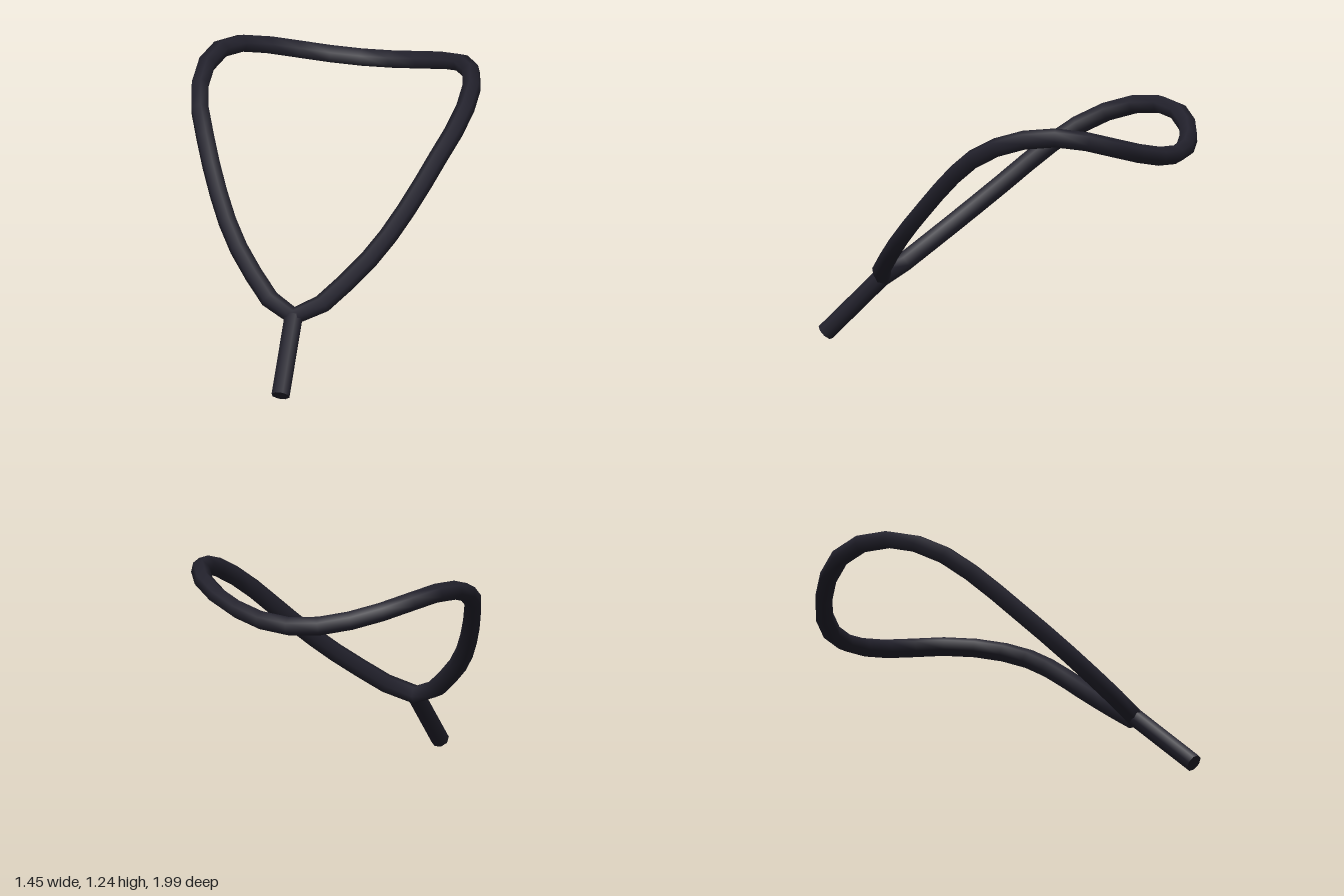
import * as THREE from 'three';

export function createModel() {
  const group = new THREE.Group();
  const dark = new THREE.MeshStandardMaterial({ color: 0x23222d });
  dark.name = 'dark slate';

  // Left half of the loop's centre line, from the back to the front
  const half = [
    [0.18, 1.062, -0.93], [0.38, 1.11, -0.855], [0.54, 1.165, -0.745],
    [0.635, 1.195, -0.6], [0.685, 1.168, -0.37], [0.66, 1.08, -0.16],
    [0.595, 0.965, 0], [0.49, 0.78, 0.2], [0.365, 0.605, 0.385],
    [0.22, 0.462, 0.53], [0.09, 0.36, 0.63],
  ];
  const left = half.map((p) => new THREE.Vector3(...p));
  const right = half.map(([x, y, z]) => new THREE.Vector3(-x, y, z)).reverse();
  const back = new THREE.Vector3(0, 1.047, -0.952);
  const front = new THREE.Vector3(0, 0.332, 0.658);

  // Bent closed loop
  const path = new THREE.CatmullRomCurve3([back, ...left, front, ...right], true);
  const loop = new THREE.Mesh(new THREE.TubeGeometry(path, 32, 0.048, 6, true), dark);
  loop.name = 'loop';
  group.add(loop);

  // Short straight stem running down and forward from the loop
  const foot = new THREE.Vector3(0, 0.032, 0.969);
  const axis = front.clone().sub(foot);
  const stemGeometry = new THREE.CylinderGeometry(0.0465, 0.0465, axis.length(), 8);
  stemGeometry.rotateY(Math.PI / 8);
  const stem = new THREE.Mesh(stemGeometry, dark);
  stem.name = 'stem';
  stem.position.copy(foot).add(front).multiplyScalar(0.5);
  stem.quaternion.setFromUnitVectors(new THREE.Vector3(0, 1, 0), axis.normalize());
  group.add(stem);

  return group;
}
